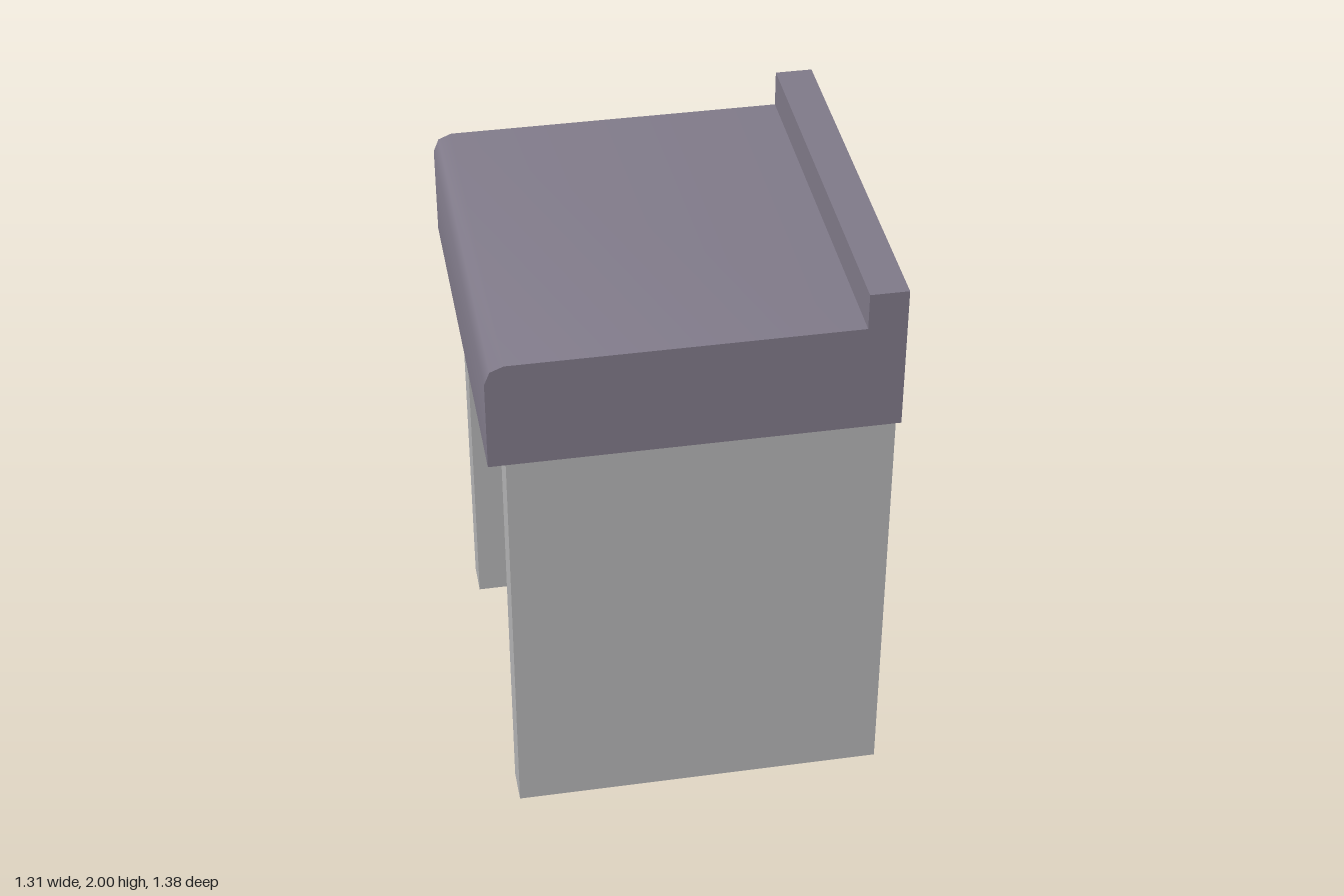
import * as THREE from 'three';
import { toCreasedNormals } from 'three/addons/utils/BufferGeometryUtils.js';

export function createModel() {
  const group = new THREE.Group();
  const stone = new THREE.MeshStandardMaterial({ name: 'light grey', color: 0xb3b3b4 });
  const cap = new THREE.MeshStandardMaterial({ name: 'dusty purple', color: 0x7f7988 });

  // Box given by its minimum and maximum corners
  const addBox = (name, [x0, y0, z0], [x1, y1, z1]) => {
    const mesh = new THREE.Mesh(new THREE.BoxGeometry(x1 - x0, y1 - y0, z1 - z0), stone);
    mesh.position.set((x0 + x1) / 2, (y0 + y1) / 2, (z0 + z1) / 2);
    mesh.name = name;
    group.add(mesh);
  };

  // Hollow base, open at the bottom and on the -x side
  const open = -0.594, inner = 0.344, outer = 0.656;
  const wallZ = 0.625, innerZ = 0.5, ceiling = 1.375, top = 1.5;
  addBox('rearWall', [inner, 0, -wallZ], [outer, top, wallZ]);
  addBox('leftWall', [open, 0, innerZ], [inner, top, wallZ]);
  addBox('rightWall', [open, 0, -wallZ], [inner, top, -innerZ]);
  addBox('ceiling', [open, ceiling, -innerZ], [inner, top, innerZ]);

  // Overhanging top slab with a raised lip and one rounded edge
  const profile = new THREE.Shape([
    [-outer, top], [outer, top], [outer, 2], [0.531, 2], [0.531, 1.875],
    [open, 1.875], [-0.638, 1.857], [-outer, 1.8125],
  ].map(([x, y]) => new THREE.Vector2(x, y)));
  const slab = new THREE.ExtrudeGeometry(profile, { depth: 1.375, bevelEnabled: false });
  slab.translate(0, 0, -0.6875);
  const slabMesh = new THREE.Mesh(toCreasedNormals(slab, 0.9), cap);
  slabMesh.name = 'topSlab';
  group.add(slabMesh);

  return group;
}
